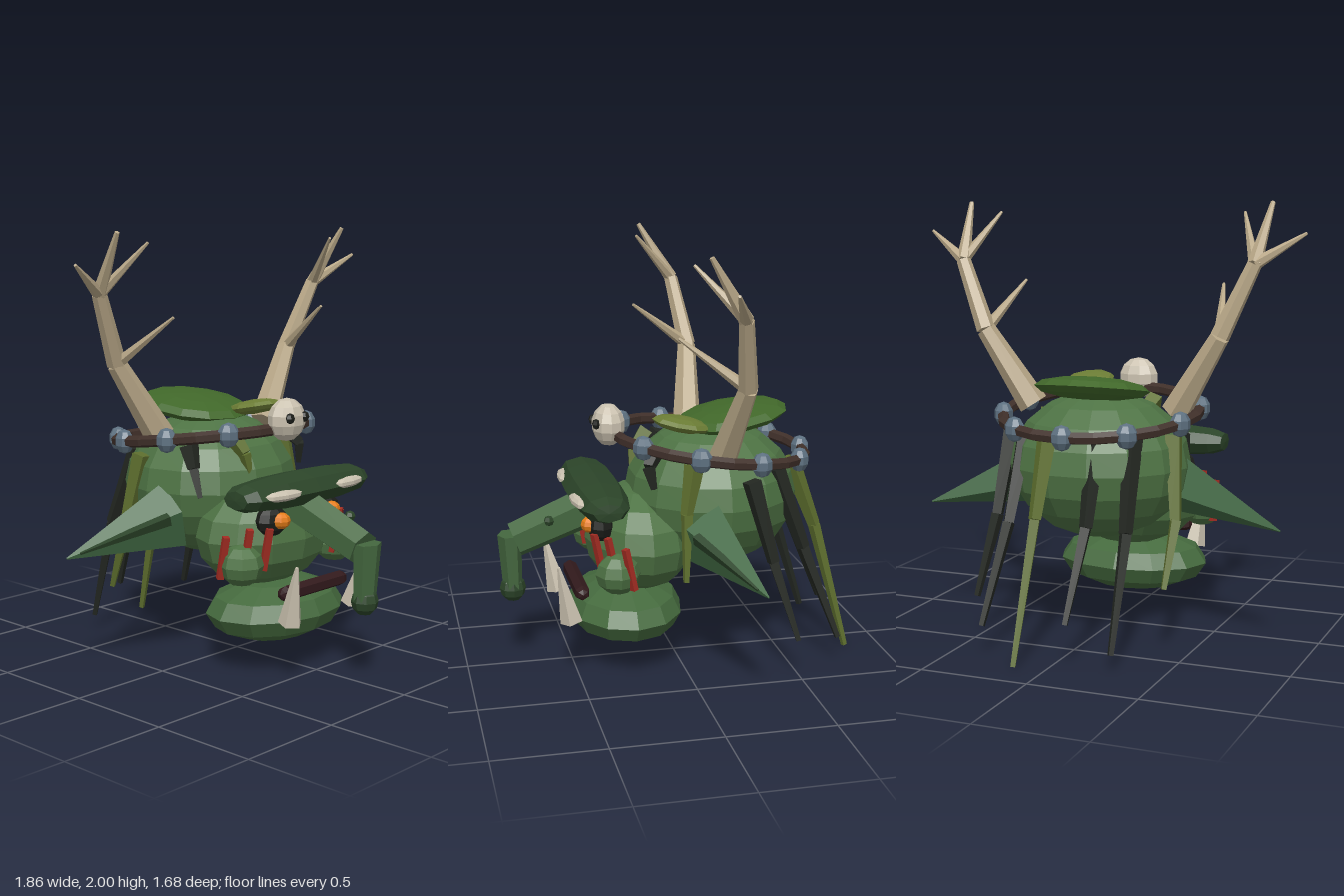
import * as THREE from 'three';

const mat = (color) => new THREE.MeshStandardMaterial({ color, flatShading: true });
const M = {
  skin: mat(0x4e7344), jaw: mat(0x456a3e), brow: mat(0x2c4529), nose: mat(0x44673f), ear: mat(0x416943),
  earInner: mat(0x2b4429), horn: mat(0xb9a888), bone: mat(0xcbc2b0), moss: mat(0x41682a), leaf: mat(0x6c7d35),
  hairDark: mat(0x242822), hairGreen: mat(0x5f702f), bead: mat(0x5d7080), band: mat(0x40302a),
  eye: mat(0xe67d17), dark: mat(0x1c1e1a), paint: mat(0xa32c22), mouth: mat(0x321a1c),
};
const V = (p) => new THREE.Vector3(...p);
const mirror = (p, s) => [p[0] * s, p[1], p[2]];

export function createModel() {
  const model = new THREE.Group();

  const add = (name, geo, material, parent = model) => {
    const mesh = new THREE.Mesh(geo, material);
    mesh.name = name;
    parent.add(mesh);
    return mesh;
  };
  // Faceted ellipsoid
  const blob = (name, material, pos, radii, w = 10, h = 7, parent = model) => {
    const m = add(name, new THREE.SphereGeometry(1, w, h), material, parent);
    m.position.set(...pos);
    m.scale.set(...radii);
    return m;
  };
  // Tapered prism between two points
  const limb = (name, material, a, b, ra, rb, sides = 6, parent = model) => {
    const d = V(b).sub(V(a));
    const m = add(name, new THREE.CylinderGeometry(rb, ra, d.length(), sides), material, parent);
    m.position.copy(V(a).addScaledVector(d, 0.5));
    m.quaternion.setFromUnitVectors(new THREE.Vector3(0, 1, 0), d.normalize());
    return m;
  };

  // Head masses
  blob('cranium', M.skin, [0, 0.81, -0.18], [0.42, 0.34, 0.41], 14, 10);
  blob('muzzle', M.skin, [0, 0.61, 0.17], [0.37, 0.25, 0.26], 12, 8);
  blob('jaw', M.jaw, [0, 0.265, 0.245], [0.375, 0.145, 0.275], 12, 6);
  const lips = add('mouth', new THREE.CapsuleGeometry(0.036, 0.38, 2, 6), M.mouth);
  lips.rotation.z = Math.PI / 2;
  lips.position.set(0, 0.4, 0.475);

  // Heavy brow turned around the x axis
  const browProfile = [[0, -0.425], [0.07, -0.42], [0.105, -0.36], [0.13, -0.18], [0.135, 0],
    [0.13, 0.18], [0.105, 0.36], [0.07, 0.42], [0, 0.425]].map(([r, y]) => new THREE.Vector2(r, y));
  const browGeo = new THREE.LatheGeometry(browProfile, 8).rotateZ(Math.PI / 2).scale(1, 0.6, 1);
  add('brow', browGeo, M.brow).position.set(0, 0.845, 0.385);

  // Hooked nose
  const nose = new THREE.Group();
  nose.name = 'nose';
  model.add(nose);
  limb('noseBridge', M.nose, [0, 0.78, 0.36], [0, 0.62, 0.76], 0.1, 0.085, 6, nose);
  limb('noseHook', M.nose, [0, 0.65, 0.785], [0, 0.39, 0.775], 0.075, 0.06, 6, nose).scale.z = 0.75;
  blob('noseTip', M.brow, [0, 0.385, 0.775], [0.062, 0.065, 0.062], 8, 6, nose);
  blob('wart', M.brow, [0.095, 0.73, 0.61], [0.025, 0.025, 0.025], 6, 4, nose);

  // Paired features
  for (const s of [1, -1]) {
    const side = s > 0 ? 'left' : 'right';
    const at = (p) => mirror(p, s);
    blob(side + 'EyeSocket', M.dark, at([0.185, 0.72, 0.385]), [0.085, 0.072, 0.06], 8, 6);
    blob(side + 'Eye', M.eye, at([0.175, 0.725, 0.435]), [0.045, 0.038, 0.04], 8, 6);
    blob(side + 'Eyebrow', M.bone, at([0.225, 0.853, 0.49]), [0.12, 0.025, 0.035], 8, 5).rotation.y = s * 0.1;
    blob(side + 'Cheek', M.skin, at([0.325, 0.53, 0.33]), [0.1, 0.095, 0.105], 8, 6);
    limb(side + 'Tusk', M.bone, at([0.22, 0.28, 0.53]), at([0.245, 0.55, 0.59]), 0.055, 0.008, 5);

    // War paint stripes
    for (const [x, y, z] of [[0.24, 0.6, 0.405], [0.315, 0.6, 0.355], [0.4, 0.57, 0.29]]) {
      const stripe = add(side + 'PaintStripe', new THREE.BoxGeometry(0.03, 0.2, 0.025), M.paint);
      stripe.position.set(s * x, y, z);
      stripe.rotation.set(0.2, s * 0.5, 0);
    }

    // Four-sided ear with a darker inner ridge
    const ear = new THREE.Group();
    ear.name = side + 'Ear';
    model.add(ear);
    limb('earShell', M.ear, at([0.36, 0.71, -0.06]), at([0.87, 0.565, -0.22]), 0.155, 0.004, 4, ear).scale.z = 0.65;
    limb('earInner', M.earInner, at([0.44, 0.71, -0.012]), at([0.82, 0.585, -0.185]), 0.035, 0.006, 4, ear);

    // Antler: beam, then tines
    const antler = new THREE.Group();
    antler.name = side + 'Antler';
    model.add(antler);
    const base = [0.355, 1.06, -0.15], bend = [0.575, 1.41, -0.2], fork = [0.715, 1.73, -0.15];
    const parts = [
      [base, bend, 0.07, 0.045], [bend, fork, 0.045, 0.034],
      [fork, [0.75, 2.0, 0.01], 0.034, 0.011], [fork, [0.61, 1.955, 0.05], 0.028, 0.007],
      [fork, [0.925, 1.865, -0.06], 0.03, 0.007], [bend, [0.5, 1.63, 0.09], 0.03, 0.007],
    ];
    for (const [a, b, ra, rb] of parts) limb('antlerSegment', M.horn, at(a), at(b), ra, rb, 6, antler);
  }

  // Tilted headband with beads and a small skull at the front
  const ring = (a) => {
    const z = -0.17 + 0.455 * Math.cos(a);
    return new THREE.Vector3(0.455 * Math.sin(a), 1.07 + 0.13 * z, z);
  };
  const loop = Array.from({ length: 20 }, (_, i) => ring((i / 20) * Math.PI * 2));
  add('headband', new THREE.TubeGeometry(new THREE.CatmullRomCurve3(loop, true), 20, 0.028, 6, true), M.band);
  for (let i = 1; i < 10; i++) {
    const a = (i / 10) * Math.PI * 2;
    blob('bead', M.bead, ring(a).toArray(), [0.052, 0.058, 0.045], 8, 5).rotation.y = a;
  }
  blob('skull', M.bone, [0, 1.15, 0.31], [0.1, 0.1, 0.078], 10, 7);
  for (const s of [1, -1]) blob('skullEye', M.dark, [s * 0.05, 1.165, 0.375], [0.025, 0.025, 0.02], 6, 4);

  // Moss caps
  blob('mossCap', M.moss, [0, 1.165, -0.28], [0.265, 0.055, 0.27], 12, 6).rotation.x = 0.16;
  blob('smallMossCap', M.leaf, [0.13, 1.165, -0.01], [0.12, 0.035, 0.14], 9, 6).rotation.x = -0.2;

  // Hair strands: root, bend, tip
  const strands = [
    ['hairDark', [-0.25, 0.97, -0.42], [-0.28, 0.58, -0.58], [-0.27, 0.08, -0.73]],
    ['hairDark', [-0.1, 0.95, -0.49], [-0.11, 0.6, -0.62], [-0.07, 0.2, -0.76]],
    ['hairGreen', [0.11, 0.97, -0.54], [0.11, 0.63, -0.67], [0.145, 0.01, -0.83]],
    ['hairDark', [0.27, 0.97, -0.42], [0.29, 0.58, -0.56], [0.35, 0.14, -0.72]],
    ['hairDark', [0.41, 0.95, -0.27], [0.44, 0.57, -0.37], [0.495, 0.2, -0.48]],
    ['hairGreen', [-0.38, 0.97, -0.25], [-0.42, 0.6, -0.33], [-0.405, 0.31, -0.44]],
    ['hairGreen', [0.34, 1.02, -0.02], [0.37, 0.8, 0.02], [0.4, 0.49, 0.03]],
    ['hairDark', [-0.32, 1.03, 0.0], [-0.33, 0.93, 0.04], [-0.33, 0.8, 0.08]],
    ['hairGreen', [-0.15, 1.08, 0.1], [-0.13, 0.99, 0.17], [-0.11, 0.9, 0.18]],
    ['hairDark', [0.2, 1.06, 0.13], [0.25, 1.0, 0.17], [0.27, 0.9, 0.15]],
  ];
  for (const [tone, root, mid, tip] of strands) {
    const strand = new THREE.Group();
    strand.name = 'hairStrand';
    model.add(strand);
    limb('strandRoot', M[tone], root, mid, 0.046, 0.03, 4, strand);
    limb('strandTip', M[tone], mid, tip, 0.03, 0.015, 4, strand);
  }

  return model;
}
